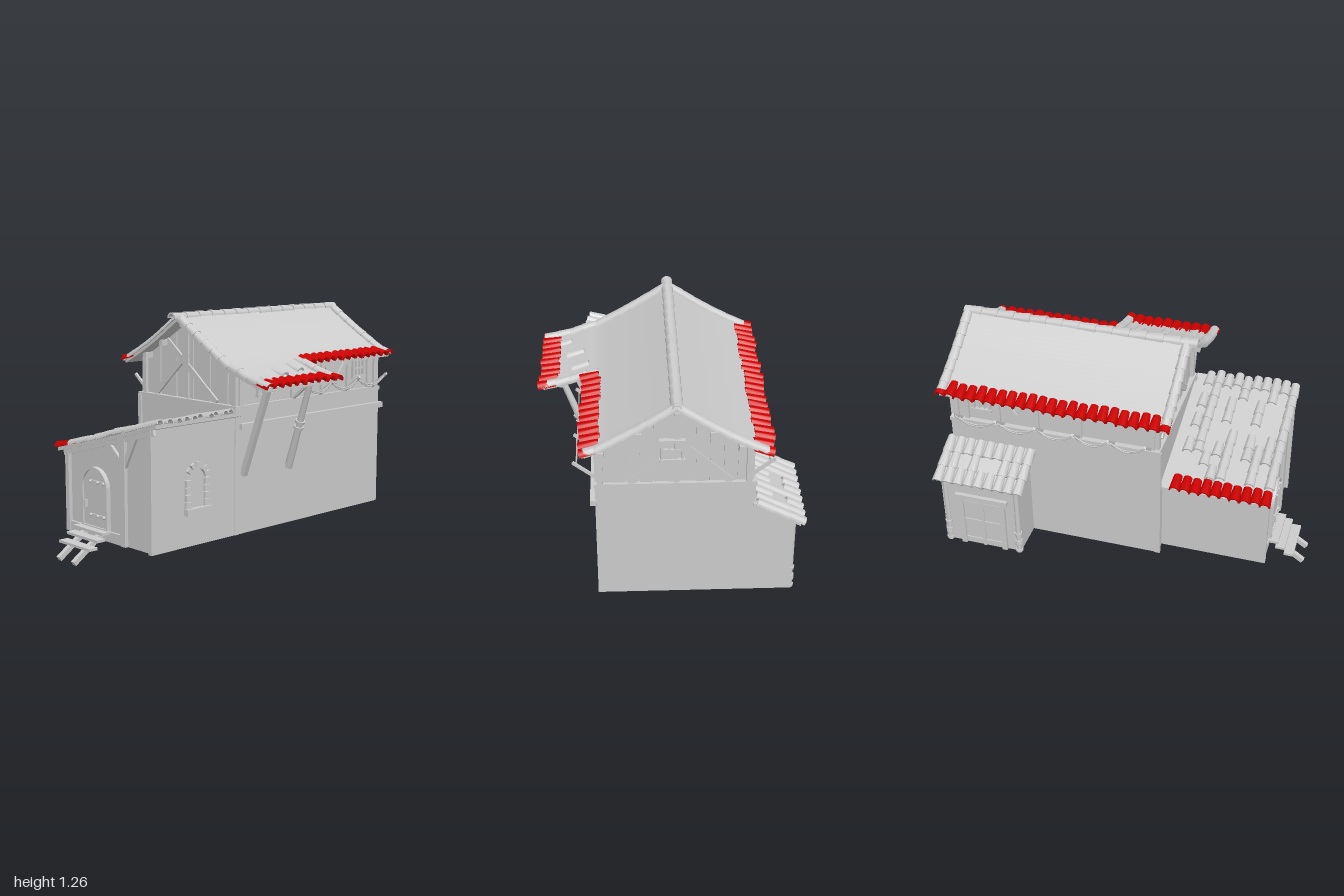
import * as THREE from 'three';
import { toCreasedNormals } from 'three/addons/utils/BufferGeometryUtils.js';

const V = (x, y, z) => new THREE.Vector3(x, y, z);
const grey = new THREE.MeshStandardMaterial({ color: 0xcccccc, side: THREE.DoubleSide });
const red = new THREE.MeshStandardMaterial({ color: 0xcc0000, side: THREE.DoubleSide });
let seed = 7;
const rand = () => (seed = (seed * 16807) % 2147483647) / 2147483647;
const polygon = pts => new THREE.Shape(pts.map(p => new THREE.Vector2(p[0], p[1])));

// Half-round clay tile, arch up, flaring towards +z
function tileGeometry() {
  const s = new THREE.Shape();
  s.absarc(0, 0, 0.027, 0, Math.PI, false);
  s.absarc(0, 0, 0.019, Math.PI, 0, true);
  const g = new THREE.ExtrudeGeometry(s, { depth: 0.095, bevelEnabled: false, curveSegments: 6 });
  g.translate(0, 0, -0.0475);
  const p = g.attributes.position;
  for (let i = 0; i < p.count; i++) {
    const k = p.getZ(i) > 0 ? 1.08 : 0.85;
    p.setXY(i, p.getX(i) * k, p.getY(i) * k);
  }
  return toCreasedNormals(g, 0.7);
}

export function createModel() {
  const root = new THREE.Group();
  const group = name => { const g = new THREE.Group(); g.name = name; root.add(g); return g; };
  const add = (parent, name, geo, mat = grey) => {
    const m = new THREE.Mesh(geo, mat);
    m.name = name;
    parent.add(m);
    return m;
  };
  const box = (parent, name, x0, x1, y0, y1, z0, z1) => {
    const m = add(parent, name, new THREE.BoxGeometry(x1 - x0, y1 - y0, z1 - z0));
    m.position.set((x0 + x1) / 2, (y0 + y1) / 2, (z0 + z1) / 2);
    return m;
  };
  const beam = (parent, name, a, b, w, h = w) => {
    const m = add(parent, name, new THREE.BoxGeometry(w, h, a.distanceTo(b)));
    m.position.copy(a).lerp(b, 0.5);
    m.lookAt(b);
    return m;
  };
  const extrude = (pts, z0, z1) =>
    new THREE.ExtrudeGeometry(polygon(pts), { depth: z1 - z0, bevelEnabled: false }).translate(0, 0, z0);
  // Walls from an x-y outline, open underneath
  const shell = (parent, name, pts, z0, z1) => {
    const g = extrude(pts, z0, z1), p = g.attributes.position, keep = [];
    const base = Math.min(...pts.map(q => q[1]));
    for (let i = 0; i < p.count; i += 3)
      if ([0, 1, 2].some(k => p.getY(i + k) > base + 0.001)) keep.push(i, i + 1, i + 2);
    g.setIndex(keep);
    g.clearGroups();
    return add(parent, name, g);
  };
  const slab = (parent, name, pts, z0, z1, t = 0.02) => {
    const under = pts.map(p => [p[0], p[1] - t]).reverse();
    return add(parent, name, toCreasedNormals(extrude([...pts, ...under], z0, z1), 0.5));
  };
  const tileGeo = tileGeometry();
  const tile = (parent, pos, dir, up, mat = grey, s = 1) => {
    const m = add(parent, 'roofTile', tileGeo, mat);
    const z = dir.clone().normalize(), x = up.clone().cross(z).normalize();
    m.quaternion.setFromRotationMatrix(new THREE.Matrix4().makeBasis(x, z.clone().cross(x), z));
    m.rotateZ((rand() - 0.5) * 0.2);
    m.rotateX(0.05 + (rand() - 0.5) * 0.06);
    m.position.copy(pos);
    m.scale.setScalar(s);
  };
  const UP = V(0, 1, 0);

  // Ground floor, open underneath
  const body = group('groundFloor');
  shell(body, 'mainWalls', [[-0.42, 0.1], [0.365, 0.1], [0.365, 0.78], [-0.42, 0.78]], -0.95, 0.22);
  for (const x of [-0.413, 0.357])
    box(body, 'cornerPost', x - 0.012, x + 0.012, 0.1, 0.78, 0.2, 0.23);
  box(body, 'sideLedge', 0.36, 0.39, 0.665, 0.697, -0.96, 0.2);
  box(body, 'floorBeam', -0.425, 0.37, 0.77, 0.79, -0.955, 0.225);

  // Upper storey with plank gables
  const left = [[-0.47, 0.975], [-0.35, 1.035], [-0.2, 1.122], [-0.12, 1.175], [-0.03, 1.235]];
  const right = [[-0.03, 1.235], [0.1, 1.15], [0.25, 1.06], [0.35, 1.005], [0.41, 0.985]];
  const shed = [[0.41, 0.985], [0.5, 0.953], [0.57, 0.935], [0.64, 0.92]];
  const profile = [...left, ...right.slice(1)];
  const roofY = x => {
    const i = Math.max(1, profile.findIndex(p => p[0] >= x));
    const [a, b] = [profile[i - 1], profile[i]];
    return a[1] + (b[1] - a[1]) * (x - a[0]) / (b[0] - a[0]);
  };
  const upper = group('upperStorey');
  const wallTop = [0.35, 0.25, 0.1, -0.03, -0.12, -0.2, -0.35, -0.395].map(x => [x, roofY(x) - 0.015]);
  add(upper, 'upperWalls', extrude([[-0.395, 0.78], [0.35, 0.78], ...wallTop], -0.93, 0.19));
  for (const [z, s] of [[0.19, 1], [-0.93, -1]]) {
    for (let i = 0; i < 11; i++) {
      const a = -0.392 + i * 0.0676, b = a + 0.063, t = 0.006 + 0.004 * (i % 2);
      const top = [[b, roofY(b) - 0.022], [a, roofY(a) - 0.022]];
      add(upper, 'gablePlank', extrude([[a, 0.79], [b, 0.79], ...top], Math.min(z, z + s * t), Math.max(z, z + s * t)));
    }
    const zz = z + s * 0.014;
    beam(upper, 'gableBrace', V(-0.3, 0.79, zz), V(-0.03, 1.04, zz), 0.012, 0.035);
    beam(upper, 'gableBrace', V(-0.2, 1.1, zz), V(0.2, 0.79, zz), 0.012, 0.035);
    box(upper, 'kingPost', -0.04, -0.02, 0.79, 1.21, zz - 0.006, zz + 0.006);
    for (const x of [-0.385, 0.34]) box(upper, 'gablePost', x - 0.015, x + 0.015, 0.78, 0.99, zz - 0.012, zz + 0.012);
    for (const x of [-0.34, -0.2, -0.03, 0.15, 0.33])
      box(upper, 'purlinEnd', x - 0.013, x + 0.013, roofY(x) - 0.052, roofY(x) - 0.02, Math.min(z, z + s * 0.06), Math.max(z, z + s * 0.06));
  }
  // Framed window in the plane x = const (side) or z = const (gable)
  const windowAt = (x, y, z, turn, w, h) => {
    const g = new THREE.Group();
    g.name = 'window';
    for (const s of [-1, 1]) {
      box(g, 'windowJamb', s * w / 2 - 0.007, s * w / 2 + 0.007, -h / 2, h / 2, -0.01, 0.012);
      box(g, 'windowRail', -w / 2 - 0.012, w / 2 + 0.012, s * h / 2 - 0.007, s * h / 2 + 0.007, -0.01, 0.016);
      box(g, 'windowBar', s * w / 6 - 0.003, s * w / 6 + 0.003, -h / 2, h / 2, -0.01, 0.006);
    }
    box(g, 'windowCrossbar', -w / 2, w / 2, -0.004, 0.004, -0.01, 0.007);
    g.position.set(x, y, z);
    g.rotation.y = turn;
    upper.add(g);
  };
  windowAt(-0.01, 0.98, -0.945, Math.PI, 0.1, 0.11);
  windowAt(0.355, 0.865, -0.01, Math.PI / 2, 0.12, 0.07);

  // Long sides: framing, leaning posts and slack ropes
  const railPosts = [-0.22, -0.43, -0.65, -0.89];
  for (const [s, x] of [[1, 0.355], [-1, -0.4]]) {
    windowAt(x, 0.91, -0.77, s * Math.PI / 2, 0.09, 0.1);
    for (const z of [0.18, -0.22, -0.46, -0.68, -0.86, -0.92])
      box(upper, 'wallPost', x - 0.01, x + 0.01, 0.78, 0.98, z - 0.013, z + 0.013);
    for (const d of [-1, 1])
      beam(upper, 'wallBrace', V(x, 0.84, -0.57), V(x, 0.97, -0.57 + d * 0.1), 0.016, 0.025);
    const posts = s > 0 ? railPosts : [0.17, -0.03, ...railPosts];
    const tip = z => V(x + s * 0.1, 0.865, z);
    posts.forEach((z, i) => {
      beam(upper, 'railPost', V(x, 0.785, z), V(x + s * 0.115, 0.878, z), 0.014);
      if (!i) return;
      const zp = posts[i - 1];
      for (const drop of [0.08, 0.1]) {
        const c = new THREE.QuadraticBezierCurve3(tip(zp), V(x + s * 0.1, 0.865 - drop, (z + zp) / 2), tip(z));
        add(upper, 'rope', new THREE.TubeGeometry(c, 10, 0.004, 5));
      }
    });
  }

  // Main roof and the lower canopy on the right
  const roof = group('mainRoof');
  const smooth = (pts, n = 20) => new THREE.CatmullRomCurve3(pts.map(p => V(p[0], p[1], 0))).getSpacedPoints(n).map(p => [p.x, p.y]);
  slab(roof, 'leftSlope', smooth(left), -0.98, 0.28);
  slab(roof, 'rightSlope', smooth(right), -0.98, 0.28);
  slab(roof, 'canopy', smooth(shed, 8), -0.26, 0.28);
  const verge = (pts, z, n) => {
    const c = new THREE.CatmullRomCurve3(pts.map(p => V(p[0], p[1], z)));
    for (let i = 0; i < n; i++) {
      const u = (i + 0.5) / n, d = c.getTangentAt(u);
      tile(roof, c.getPointAt(u), d.y > 0 ? d.negate() : d, UP);
    }
  };
  verge(left, 0.26, 7);
  verge([...right, ...shed.slice(1)], 0.26, 10);
  verge(left, -0.97, 7);
  verge(right, -0.97, 7);
  verge(shed, -0.25, 3);
  for (let i = 0; i < 14; i++) tile(roof, V(-0.03, 1.233, 0.27 - i * 0.093), V(0, 0.05, 1), UP, grey, 1.08);
  const eave = (parent, x, y, dir, z0, z1) => {
    const n = Math.round((z1 - z0) / 0.056);
    for (let i = 0; i <= n; i++)
      tile(parent, V(x + (rand() - 0.5) * 0.015, y, z0 + (z1 - z0) * i / n), dir, UP, red, 1.04);
  };
  eave(roof, -0.45, 0.983, V(-1, -0.25, 0), -0.97, 0.26);
  eave(roof, 0.385, 0.99, V(1, -0.2, 0), -0.97, -0.29);
  eave(roof, 0.61, 0.924, V(1, -0.14, 0), -0.25, 0.26);
  for (const [x, z] of [[0.44, -0.14], [0.47, 0.01], [0.54, 0.16], [0.39, -0.25]])
    tile(roof, V(x, 1.12 - 0.35 * x, z), V(1, -0.3, 0), UP);

  // Canopy supports: square strut and round tapered pole
  const supports = group('canopySupports');
  beam(supports, 'strut', V(0.37, 0.42, 0.17), V(0.555, 0.92, 0.17), 0.03);
  beam(supports, 'canopyRail', V(0.545, 0.918, -0.25), V(0.545, 0.918, 0.26), 0.022);
  const pole = new THREE.Group();
  pole.name = 'pole';
  add(pole, 'poleShaft', new THREE.CylinderGeometry(0.016, 0.023, 0.54, 10));
  for (const y of [-0.02, 0.015])
    add(pole, 'poleBand', new THREE.CylinderGeometry(0.028, 0.028, 0.014, 10)).position.y = y;
  pole.position.set(0.46, 0.665, -0.165);
  pole.quaternion.setFromUnitVectors(UP, V(0.185, 0.5, 0.03).normalize());
  supports.add(pole);

  // Front wing
  const wing = group('frontWing');
  const wingY = x => 0.545 + 0.27 * (x + 0.41);
  shell(wing, 'wingWalls', [[-0.345, 0.1], [0.365, 0.1], [0.365, wingY(0.365) - 0.015], [-0.345, wingY(-0.345) - 0.015]], 0.22, 0.785);
  slab(wing, 'wingRoof', [[-0.4, wingY(-0.4)], [0, wingY(0) - 0.006], [0.41, wingY(0.41)]], 0.22, 0.81);
  for (const [x, w] of [[-0.33, 0.015], [0.137, 0.02], [0.353, 0.013]])
    box(wing, 'frontPost', x - w, x + w, 0.1, wingY(x) - 0.02, 0.78, 0.805);
  box(wing, 'sillBeam', -0.33, 0.137, 0.1, 0.155, 0.78, 0.798);
  beam(wing, 'frontRafter', V(-0.36, wingY(-0.36) - 0.035, 0.792), V(0.38, wingY(0.38) - 0.035, 0.792), 0.02, 0.03);
  beam(wing, 'postBrace', V(0.137, 0.52, 0.792), V(0, 0.635, 0.792), 0.018, 0.03);
  beam(wing, 'postBrace', V(0.145, 0.52, 0.792), V(0.24, 0.695, 0.792), 0.018, 0.03);
  for (let r = 0; r < 10; r++)
    for (let c = 0; c < 9; c++) {
      const x = 0.385 - c * 0.08, z = 0.79 - r * 0.054;
      if (r > 0 && c > 0 && rand() > 0.45) continue;
      tile(wing, V(x + (rand() - 0.5) * 0.03, wingY(x), z), V(-1, -0.27, 0), UP);
    }
  eave(wing, -0.365, wingY(-0.365), V(-1, -0.2, 0), 0.3, 0.79);

  // Arched door with hinges and handle
  const door = group('frontDoor');
  const arch = (x0, x1, y0, ySpring) => {
    const s = new THREE.Shape(), r = (x1 - x0) / 2;
    s.moveTo(x0, y0).lineTo(x1, y0).lineTo(x1, ySpring);
    s.absarc(x0 + r, ySpring, r, 0, Math.PI, false);
    return s;
  };
  const frame = arch(-0.2, 0.015, 0.155, 0.375);
  frame.holes.push(arch(-0.188, 0.003, 0.165, 0.375));
  const deep = depth => ({ depth, bevelEnabled: false, curveSegments: 12 });
  add(door, 'doorFrame', new THREE.ExtrudeGeometry(frame, deep(0.04)).translate(0, 0, 0.77));
  add(door, 'doorLeaf', new THREE.ExtrudeGeometry(arch(-0.188, 0.003, 0.165, 0.375), deep(0.03)).translate(0, 0, 0.77));
  for (const y of [0.225, 0.405]) {
    box(door, 'hinge', -0.13, 0.01, y - 0.007, y + 0.007, 0.8, 0.808);
    for (const x of [-0.12, -0.06, -0.01])
      add(door, 'hingeStud', new THREE.SphereGeometry(0.009, 8, 6)).position.set(x, y, 0.809);
  }
  box(door, 'handle', -0.168, -0.158, 0.26, 0.3, 0.8, 0.82);

  // Entrance steps
  const steps = group('steps');
  for (const x of [-0.162, -0.037]) beam(steps, 'stringer', V(x, 0.15, 0.79), V(x, 0.012, 0.99), 0.026, 0.026);
  for (const [y, z, a, b] of [[0.152, 0.825, -0.22, 0.03], [0.122, 0.865, -0.225, 0.035], [0.086, 0.915, -0.225, 0.035]])
    box(steps, 'tread', a, b, y - 0.007, y + 0.007, z - 0.027, z + 0.027);

  // Arched side window with stone surround
  const stone = group('archedWindow');
  const cz = 0.503;
  add(stone, 'windowPane', new THREE.ExtrudeGeometry(arch(-0.05, 0.05, 0.29, 0.45), deep(0.006)).rotateY(Math.PI / 2).translate(0.363, 0, cz));
  for (const s of [-1, 1]) for (let i = 0; i < 4; i++)
    box(stone, 'jambStone', 0.355, 0.38 + 0.004 * (i % 2), 0.302 + i * 0.038, 0.336 + i * 0.038, cz + s * 0.063 - 0.017, cz + s * 0.063 + 0.017);
  for (let i = 0; i < 7; i++) {
    const a = (i + 0.5) / 7 * Math.PI;
    const m = box(stone, 'archStone', 0.355, 0.382, -0.017, 0.017, -0.013, 0.013);
    m.position.set(0.368, 0.455 + Math.sin(a) * 0.066, cz + Math.cos(a) * 0.066);
    m.rotation.x = Math.PI / 2 - a;
  }
  box(stone, 'windowSill', 0.355, 0.395, 0.268, 0.302, cz - 0.085, cz + 0.085);

  // Rear lean-to with its own door and banded posts
  const lean = group('leanTo');
  const leanY = x => 0.535 + 0.52 * (x + 0.66);
  shell(lean, 'leanToWalls', [[-0.62, 0.1], [-0.42, 0.1], [-0.42, leanY(-0.42) - 0.015], [-0.62, leanY(-0.62) - 0.015]], -0.95, -0.51);
  slab(lean, 'leanToRoof', [[-0.65, leanY(-0.65)], [-0.41, leanY(-0.41)]], -0.97, -0.47);
  for (let r = 0; r < 9; r++) for (let c = 0; c < 3; c++) {
    const x = -0.625 + c * 0.08;
    if (c === 1 && r > 1 && r < 7 && r % 3) continue;
    tile(lean, V(x, leanY(x), -0.95 + r * 0.057), V(-1, -0.52, 0), UP);
  }
  for (const z of [-0.93, -0.52]) {
    add(lean, 'leanToPost', new THREE.CylinderGeometry(0.014, 0.016, 0.44, 8)).position.set(-0.618, 0.315, z);
    for (const y of [0.11, 0.155, 0.172, 0.225])
      add(lean, 'postBand', new THREE.CylinderGeometry(0.022, 0.022, 0.014, 8)).position.set(-0.618, y, z);
  }
  for (const z of [-0.84, -0.6]) box(lean, 'sideDoorJamb', -0.637, -0.61, 0.1, 0.42, z - 0.014, z + 0.014);
  box(lean, 'sideDoorLintel', -0.642, -0.61, 0.41, 0.44, -0.87, -0.57);
  box(lean, 'sideDoorLeaf', -0.624, -0.612, 0.1, 0.41, -0.83, -0.61);
  for (const y of [0.13, 0.26, 0.385]) box(lean, 'sideDoorRail', -0.63, -0.615, y - 0.012, y + 0.012, -0.83, -0.61);
  box(lean, 'sideDoorStile', -0.63, -0.615, 0.1, 0.41, -0.73, -0.71);
  return root;
}
